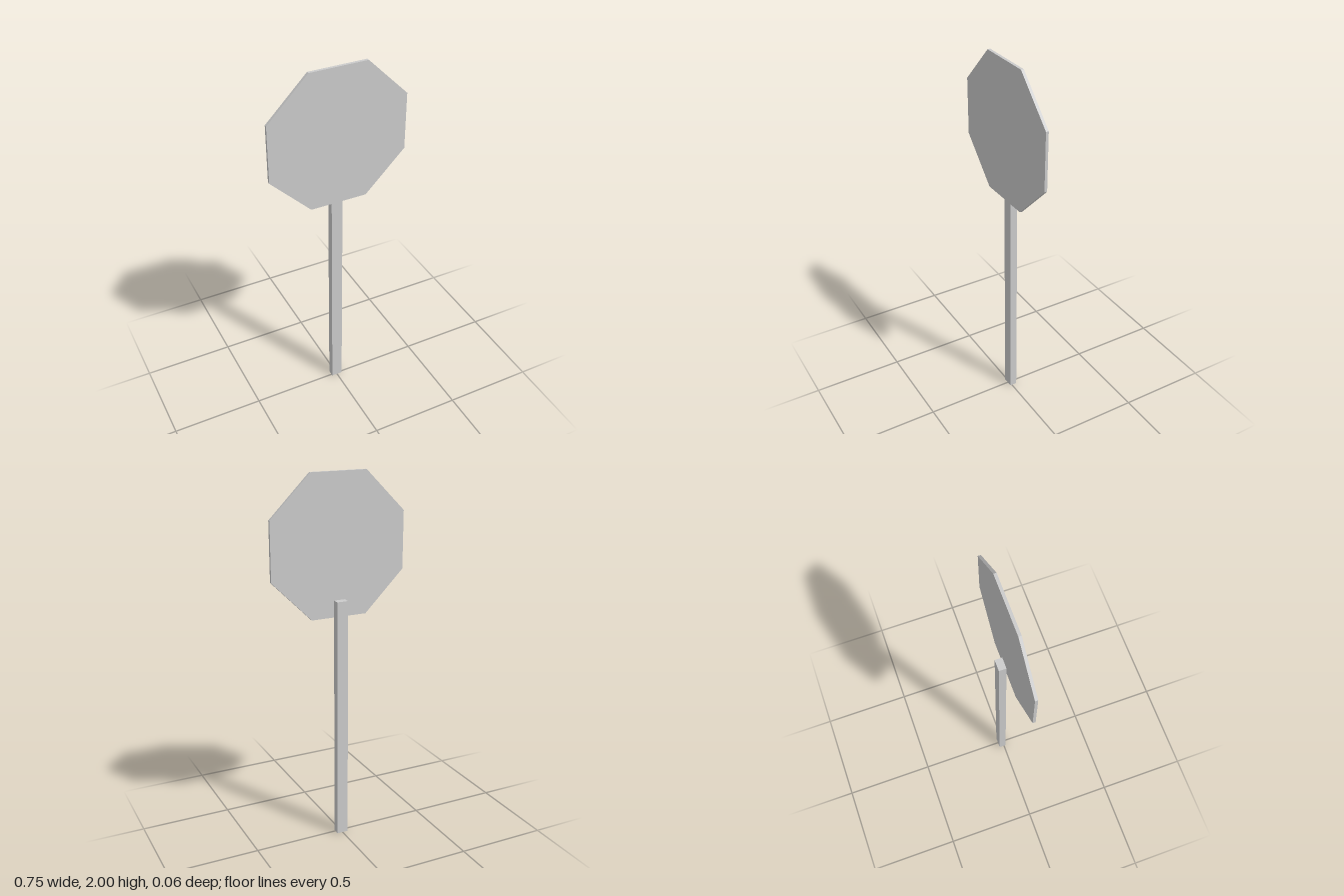
import * as THREE from 'three';

export function createModel() {
  const group = new THREE.Group();
  const material = new THREE.MeshStandardMaterial({ color: 0xcccccc, flatShading: true });

  const addPart = (name, geometry, x, y, z) => {
    const mesh = new THREE.Mesh(geometry, material);
    mesh.name = name;
    mesh.position.set(x, y, z);
    group.add(mesh);
  };

  // Rectangular post standing on the ground, behind the plate
  const postHeight = 1.345;
  addPart('post', new THREE.BoxGeometry(0.062, postHeight, 0.04), 0, postHeight / 2, -0.0095);

  // Thin regular octagon with flat edges at top, bottom and sides
  const apothem = 0.3735;
  const radius = apothem / Math.cos(Math.PI / 8);
  const plate = new THREE.CylinderGeometry(radius, radius, 0.015, 8, 1, false, Math.PI / 8);
  plate.rotateX(Math.PI / 2);
  addPart('signPlate', plate, 0, 2 - apothem, 0.022);

  return group;
}
